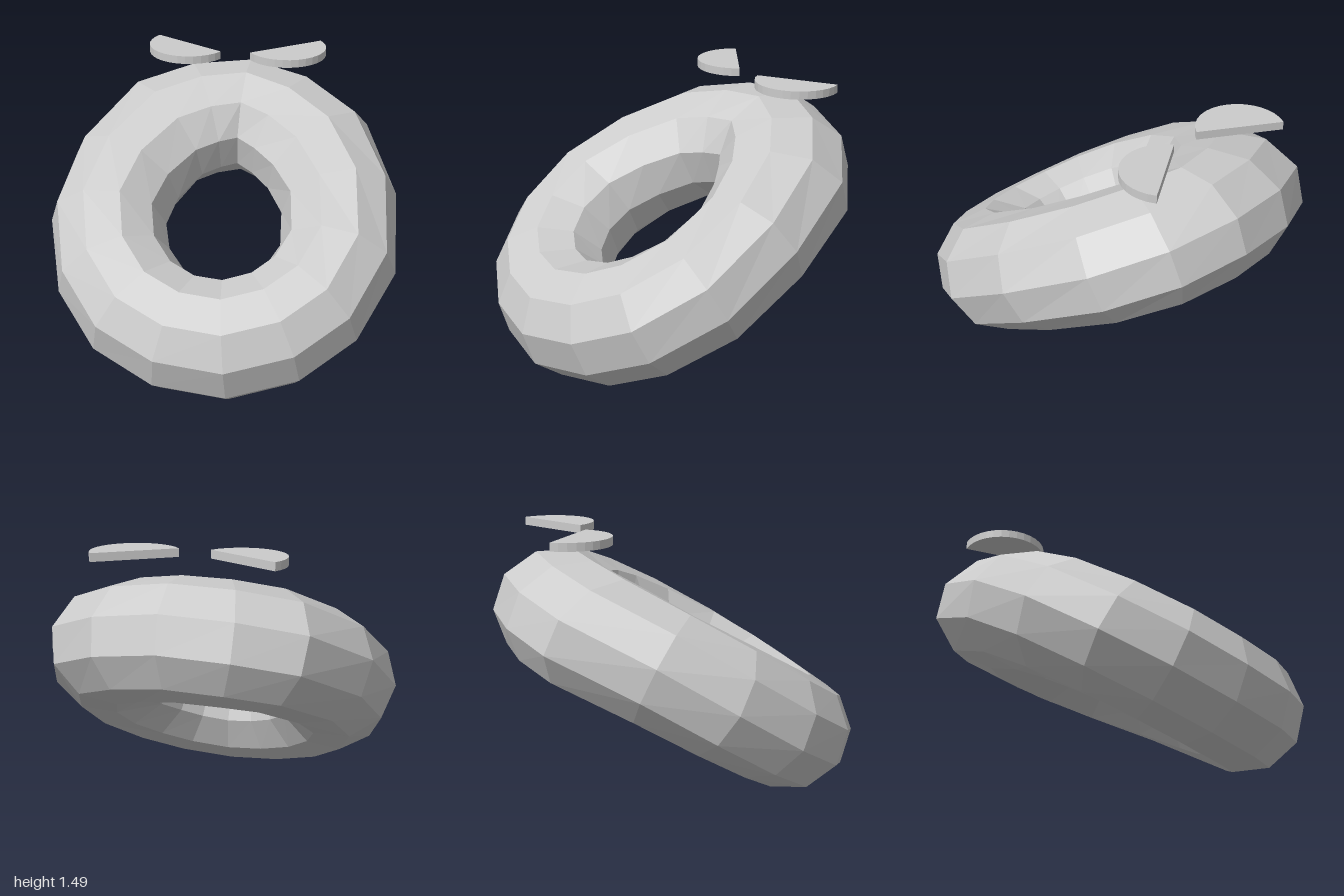
import * as THREE from 'three';

const HEIGHT = 0.324, SIDES = 10;

// Stations round the ring from the front by the left side:
// outer rim x, z and hole edge x, z
const STATIONS = [
  [-0.27, 0.96, -0.09, 0.34], [0.1, 1, 0.05, 0.35], [0.46, 0.9, 0.19, 0.31],
  [0.75, 0.69, 0.28, 0.24], [0.96, 0.31, 0.33, 0.16], [0.95, -0.17, 0.32, 0],
  [0.76, -0.64, 0.24, -0.12], [0.44, -0.9, 0.14, -0.22], [0.07, -1, 0.04, -0.3],
  [-0.3, -0.97, -0.06, -0.25], [-0.63, -0.82, -0.17, -0.18],
  [-0.89, -0.35, -0.28, -0.05], [-0.97, 0.1, -0.32, 0.08],
  [-0.85, 0.52, -0.29, 0.19], [-0.6, 0.81, -0.21, 0.28],
];

const material = () => new THREE.MeshStandardMaterial({
  color: 0xcccccc, flatShading: true, side: THREE.DoubleSide,
});

// Tilted ring: ten-sided sections swept along a closed path
function ringGeometry() {
  const n = STATIONS.length;
  const rings = STATIONS.map(([ox, oz, ix, iz]) => {
    const out = new THREE.Vector3(ox - ix, 0, oz - iz);
    const width = out.length() / 2;
    const z = (oz + iz) / 2;
    const center = new THREE.Vector3((ox + ix) / 2, 0.73 - 0.56 * z - 0.09 * z * z, z);
    return { out: out.normalize(), width, center };
  });

  const pos = [], index = [];
  rings.forEach(({ out, width, center }, i) => {
    const along = rings[(i + 1) % n].center.clone().sub(rings[(i + n - 1) % n].center);
    const rise = out.clone().cross(along).normalize();
    // sections roll with the tilt, so the rows run parallel around the ring
    const roll = (1 - out.z) * Math.PI / 5;
    for (let k = 0; k < SIDES; k++) {
      const a = (k / SIDES) * Math.PI * 2 + roll;
      const p = center.clone()
        .addScaledVector(out, width * Math.cos(a))
        .addScaledVector(rise, HEIGHT * Math.sin(a));
      pos.push(p.x, p.y, p.z);
      const i2 = (i + 1) % n, k2 = (k + 1) % SIDES;
      const A = i * SIDES + k, B = i2 * SIDES + k;
      const C = i2 * SIDES + k2, D = i * SIDES + k2;
      index.push(A, B, C, A, C, D);
    }
  });
  const g = new THREE.BufferGeometry();
  g.setAttribute('position', new THREE.Float32BufferAttribute(pos, 3));
  g.setIndex(index);
  g.computeVertexNormals();
  return g;
}

// Half disc lying flat, round side towards the front
function halfDiscGeometry() {
  const shape = new THREE.Shape();
  shape.absarc(0, 0, 0.232, 0, Math.PI, false);
  shape.closePath();
  const g = new THREE.ExtrudeGeometry(shape, {
    depth: 0.045, bevelEnabled: false, curveSegments: 8,
  });
  return g.rotateX(Math.PI / 2);
}

export function createModel() {
  const model = new THREE.Group();
  model.name = 'ringWithEyes';

  const ring = new THREE.Mesh(ringGeometry(), material());
  ring.name = 'ring';
  model.add(ring);

  // Two slanted eyes floating above the back of the ring
  for (const side of [1, -1]) {
    const eye = new THREE.Mesh(halfDiscGeometry(), material());
    eye.name = side > 0 ? 'leftEye' : 'rightEye';
    eye.position.set(0.006 + side * 0.28, 1.496, -0.635);
    eye.rotation.y = side * 0.57;
    model.add(eye);
  }
  return model;
}
